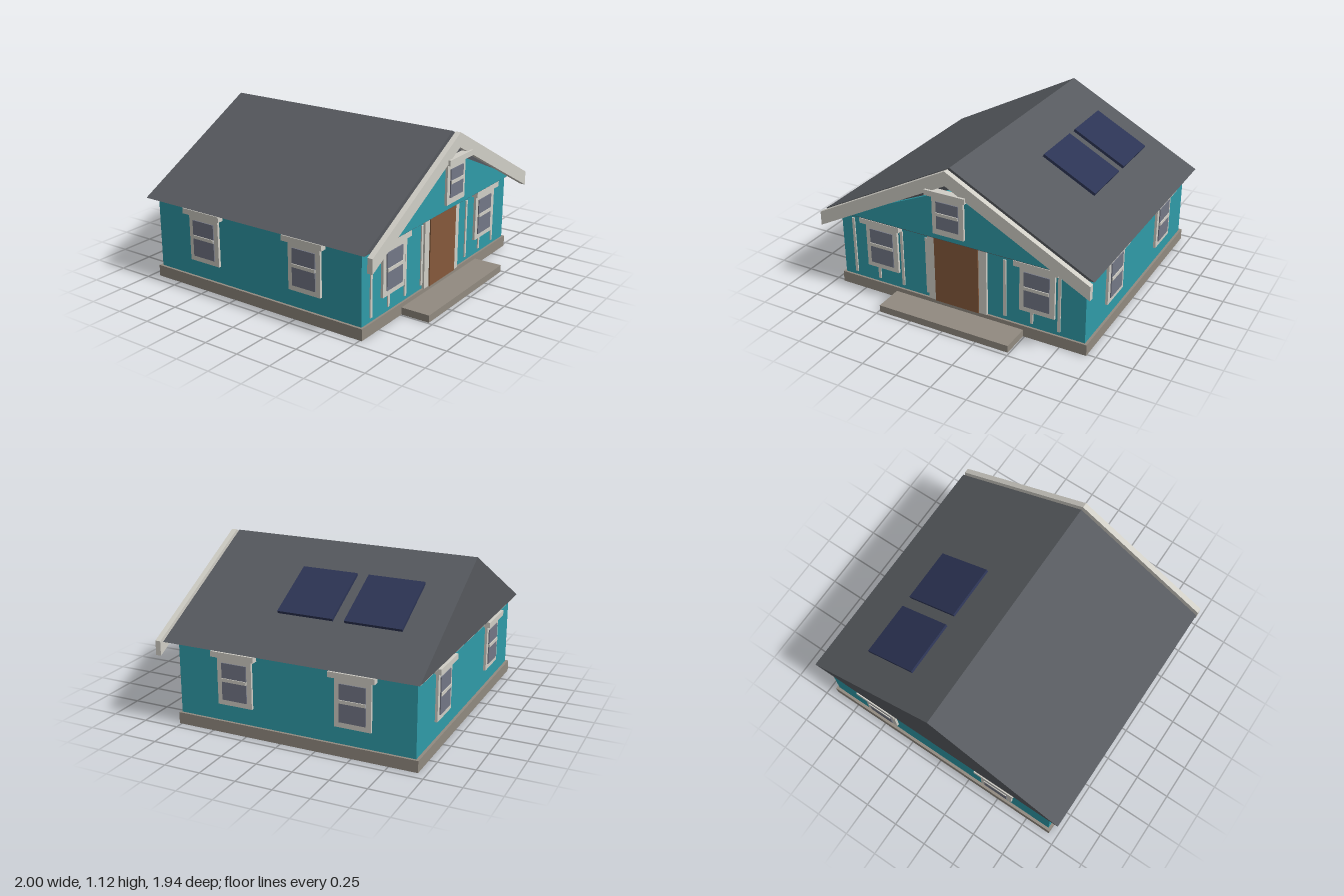
import * as THREE from 'three';

const mat = (name, color) => {
  const m = new THREE.MeshStandardMaterial({ color });
  m.name = name;
  return m;
};

export function createModel() {
  const teal = mat('teal siding', 0x2f9ba8);
  const trim = mat('pale trim', 0xd0cec6);
  const roofing = mat('roof grey', 0x56595e);
  const stone = mat('foundation stone', 0x918a80);
  const wood = mat('door wood', 0x85593b);
  const glass = mat('window glass', 0x737786);
  const solar = mat('solar blue', 0x2c3454);

  const house = new THREE.Group();
  house.name = 'house';

  // Box given by its limits on each axis
  function box(name, material, [x0, x1], [y0, y1], [z0, z1], parent = house) {
    const mesh = new THREE.Mesh(new THREE.BoxGeometry(x1 - x0, y1 - y0, z1 - z0), material);
    mesh.name = name;
    mesh.position.set((x0 + x1) / 2, (y0 + y1) / 2, (z0 + z1) / 2);
    parent.add(mesh);
    return mesh;
  }

  // Outline in x,y extruded from z0 to z1
  function slab(name, material, points, z0, z1) {
    const shape = new THREE.Shape(points.map(([x, y]) => new THREE.Vector2(x, y)));
    const geo = new THREE.ExtrudeGeometry(shape, { depth: z1 - z0, bevelEnabled: false });
    const mesh = new THREE.Mesh(geo, material);
    mesh.name = name;
    mesh.position.z = z0;
    house.add(mesh);
  }

  // Base and walls
  box('foundation', stone, [-0.94, 0.94], [0, 0.08], [-0.945, 0.765]);
  box('frontStep', stone, [-0.49, 0.49], [0, 0.05], [0.765, 0.97]);
  box('walls', teal, [-0.922, 0.922], [0.08, 0.585], [-0.925, 0.75]);
  box('eaveTrim', trim, [-0.947, 0.947], [0.57, 0.59], [-0.95, 0.772]);

  // Roof, front gable and bargeboards
  slab('roof', roofing, [[-1, 0.59], [1, 0.59], [0, 1.12]], -0.965, 0.82);
  slab('gableWall', teal, [[-0.82, 0.608], [0.82, 0.608], [0, 0.97]], 0.82, 0.842);
  slab('bargeboards', trim,
    [[-1, 0.49], [0, 1.02], [1, 0.49], [1, 0.59], [0, 1.12], [-1, 0.59]], 0.842, 0.88);

  // Door with side casings
  box('door', wood, [-0.165, 0.165], [0.08, 0.573], [0.75, 0.776]);
  for (const s of [-1, 1]) {
    const [a, b] = [s * 0.165, s * 0.222].sort((p, q) => p - q);
    box('doorCasing', trim, [a, b], [0.08, 0.572], [0.75, 0.768]);
  }

  // Battens on the front wall; those behind the door are left out
  for (const x of [-0.825, -0.63, -0.435, -0.237, 0.35, 0.546, 0.74]) {
    box('batten', trim, [x - 0.01, x + 0.01], [0.11, 0.53], [0.75, 0.758]);
  }

  // Sash window facing +z, its origin at the bottom centre on the wall
  function sashWindow(x, y, z, turn, s) {
    const w = new THREE.Group();
    w.name = 'window';
    box('windowFrame', trim, [-s.half, s.half], [0, s.top], [0, 0.018], w);
    box('windowGlass', glass, [-s.pane, s.pane], s.paneY, [0.018, 0.025], w);
    box('windowRail', trim, [-s.pane, s.pane], s.railY, [0.018, 0.031], w);
    box('windowHead', trim, [-s.cap, s.cap], [s.top, s.top + 0.038], [0, s.capDepth], w);
    w.position.set(x, y, z);
    w.rotation.y = turn;
    house.add(w);
  }
  const main = { half: 0.125, top: 0.332, pane: 0.09, paneY: [0.037, 0.292], railY: [0.165, 0.188], cap: 0.157, capDepth: 0.045 };
  const attic = { half: 0.115, top: 0.282, pane: 0.081, paneY: [0.045, 0.238], railY: [0.14, 0.162], cap: 0.146, capDepth: 0.053 };

  for (const s of [-1, 1]) {
    sashWindow(s * 0.588, 0.2, 0.75, 0, main);
    sashWindow(s * 0.49, 0.2, -0.925, Math.PI, main);
    for (const z of [0.327, -0.508]) sashWindow(s * 0.922, 0.2, z, s * Math.PI / 2, main);
  }
  sashWindow(0, 0.65, 0.842, 0, attic);

  // Solar panels held above the left slope
  for (const z of [-0.055, -0.528]) {
    const panel = box('solarPanel', solar, [-0.215, 0.215], [-0.01, 0.01], [-0.196, 0.196]);
    panel.position.set(0.495, 0.897, z);
    panel.rotation.z = -Math.atan(0.53);
  }

  return house;
}
